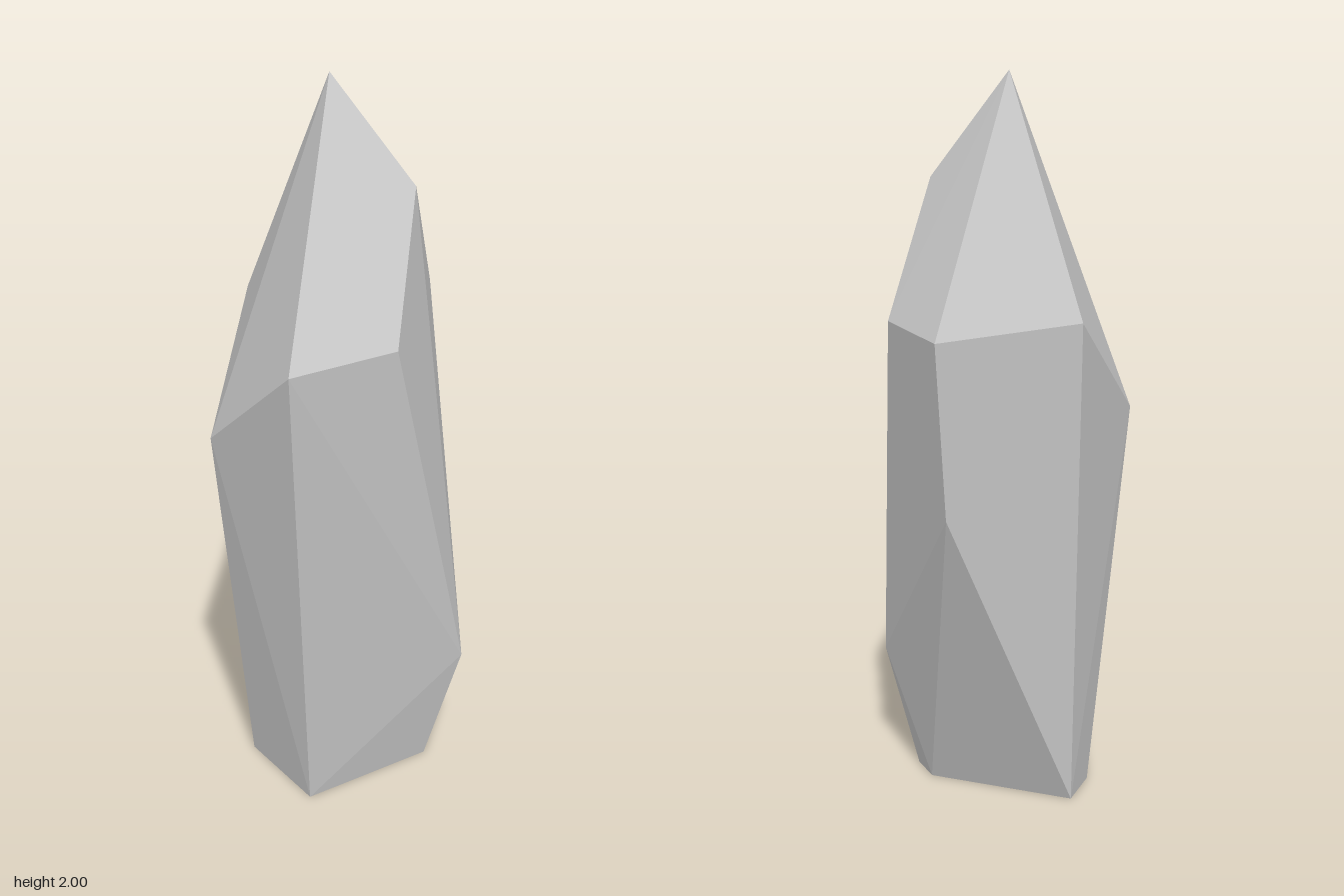
import * as THREE from 'three';
import { ConvexGeometry } from 'three/addons/geometries/ConvexGeometry.js';

export function createModel() {
  const group = new THREE.Group();
  group.name = 'crystalShard';

  // Key corners of the cut crystal; the facets are their convex hull
  const corners = [
    // tip
    [0, 2, 0],
    // untouched shoulder corners
    [-0.36, 1.37, 0.36], [0.36, 1.37, -0.36],
    // kite-shaped facet on the front left corner
    [0.16, 1.715, 0.16], [0.36, 1.37, -0.035], [-0.035, 1.37, 0.36], [0.272, 0.345, 0.272],
    // top of the long facet on the back right corner
    [-0.36, 1.07, -0.025], [-0.087, 1.37, -0.272],
    // peak of the low facet on the back left corner
    [0.317, 0.9, -0.317],
    // base outline
    [-0.2, 0, 0.2], [0.2, 0, 0.2], [0.2, 0, 0.1], [-0.1, 0, -0.2], [-0.2, 0, -0.1],
  ].map((p) => new THREE.Vector3(...p));

  const material = new THREE.MeshStandardMaterial({ color: 0xcccccc, flatShading: true });
  const crystal = new THREE.Mesh(new ConvexGeometry(corners), material);
  crystal.name = 'crystal';
  group.add(crystal);
  return group;
}
